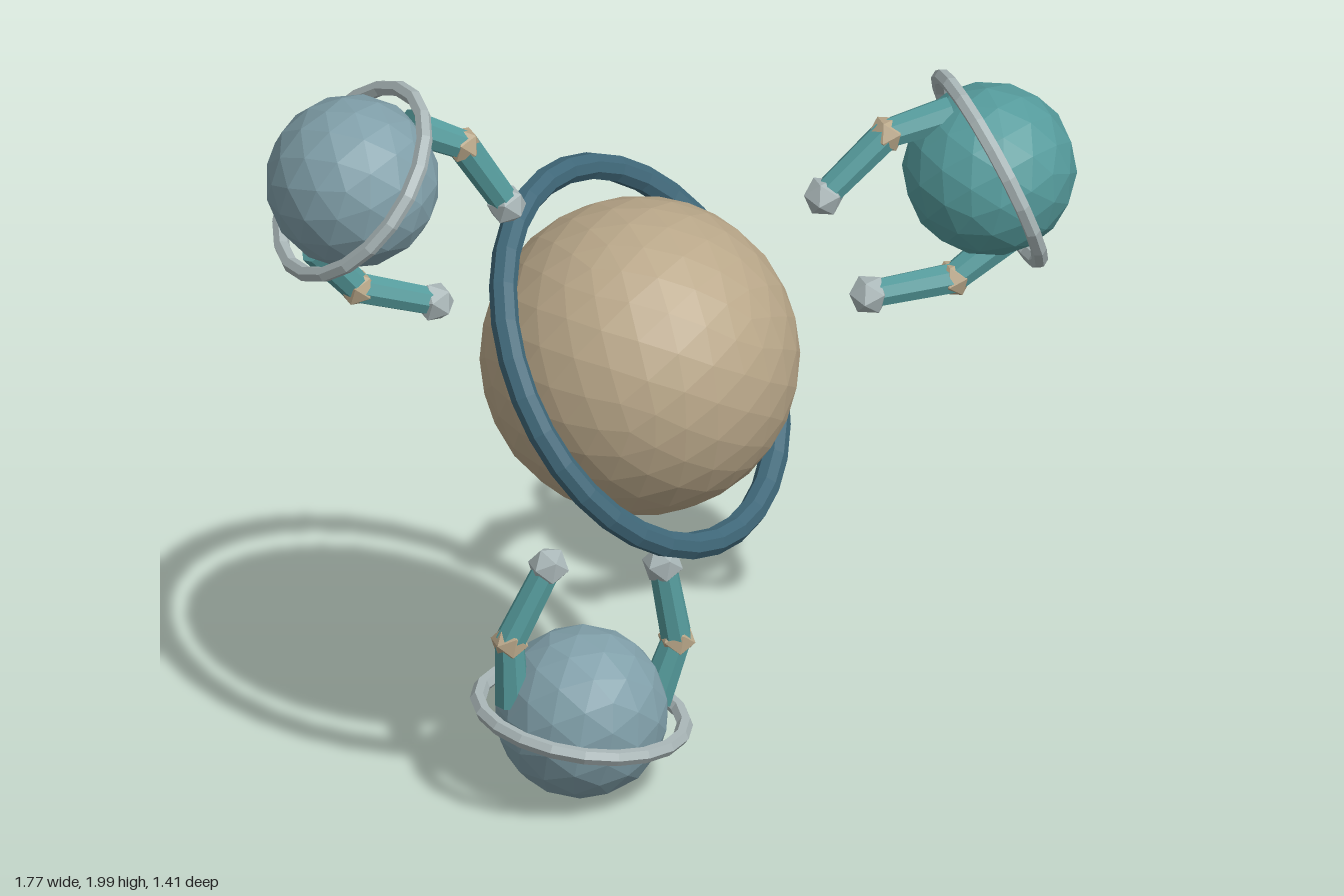
import * as THREE from 'three';

const mat = (name, color) => {
  const m = new THREE.MeshStandardMaterial({ color, flatShading: true });
  m.name = name;
  return m;
};

export function createModel() {
  const tan = mat('tan', 0xb9a789);
  const navy = mat('deep blue', 0x3f6778);
  const slate = mat('slate blue', 0x809fa9);
  const teal = mat('teal', 0x559b9c);
  const silver = mat('pale grey', 0xa9b6b7);

  const root = new THREE.Group();
  root.name = 'orbitalCluster';
  const add = (parent, name, geo, material, x = 0, y = 0, z = 0) => {
    const mesh = new THREE.Mesh(geo, material);
    mesh.name = name;
    mesh.position.set(x, y, z);
    parent.add(mesh);
    return mesh;
  };
  const up = new THREE.Vector3(0, 1, 0);

  // Central sphere with its tilted ring
  const centre = new THREE.Vector3(-0.07, 1.17, -0.04);
  add(root, 'coreSphere', new THREE.IcosahedronGeometry(0.388, 4), tan, ...centre);
  const ring = add(root, 'coreRing', new THREE.TorusGeometry(0.483, 0.034, 8, 32), navy, ...centre);
  ring.quaternion.setFromUnitVectors(new THREE.Vector3(0, 0, 1), new THREE.Vector3(0.1, 0.56, 0.82).normalize());

  // Shared pod geometries
  const podGeo = new THREE.IcosahedronGeometry(0.212, 2);
  const podRingGeo = new THREE.TorusGeometry(0.253, 0.02, 6, 20).rotateX(Math.PI / 2);
  const jointGeo = new THREE.IcosahedronGeometry(0.047, 0);
  const tipGeo = new THREE.IcosahedronGeometry(0.051, 0);

  // Tapered limb between two points
  const limb = (parent, name, a, b, r0, r1) => {
    const d = b.clone().sub(a);
    const mid = a.clone().add(b).multiplyScalar(0.5);
    const mesh = add(parent, name, new THREE.CylinderGeometry(r1, r0, d.length(), 8), teal, ...mid);
    mesh.quaternion.setFromUnitVectors(up, d.normalize());
  };

  // Pods face the core along local +y; their arms spread along local x
  const pods = [
    { name: 'upperRightPod', pos: [-0.675, 1.786, -0.463], side: [-0.545, -0.77, -0.334], color: slate },
    { name: 'upperLeftPod', pos: [0.672, 1.516, 0.47], side: [0.24, -0.94, 0.29], color: teal },
    { name: 'lowerPod', pos: [-0.196, 0.222, -0.124], side: [0.81, -0.15, 0.57], color: slate },
  ];
  for (const p of pods) {
    const pod = new THREE.Group();
    pod.name = p.name;
    pod.position.set(...p.pos);
    const u = centre.clone().sub(pod.position).normalize();
    const s = new THREE.Vector3(...p.side);
    s.addScaledVector(u, -s.dot(u)).normalize();
    pod.quaternion.setFromRotationMatrix(new THREE.Matrix4().makeBasis(s, u, s.clone().cross(u)));
    root.add(pod);

    add(pod, 'podSphere', podGeo, p.color);
    add(pod, 'podRing', podRingGeo, silver);

    for (const k of [-1, 1]) {
      const arm = new THREE.Group();
      arm.name = k < 0 ? 'armA' : 'armB';
      pod.add(arm);
      const base = new THREE.Vector3(0.185 * k, 0.03, 0);
      const elbow = new THREE.Vector3(0.217 * k, 0.192, 0);
      const tip = new THREE.Vector3(0.148 * k, 0.395, 0);
      limb(arm, 'lowerArm', base, elbow, 0.044, 0.037);
      limb(arm, 'upperArm', elbow, tip, 0.039, 0.035);
      add(arm, 'elbowJoint', jointGeo, tan, ...elbow);
      add(arm, 'armTip', tipGeo, silver, ...tip);
    }
  }
  return root;
}
